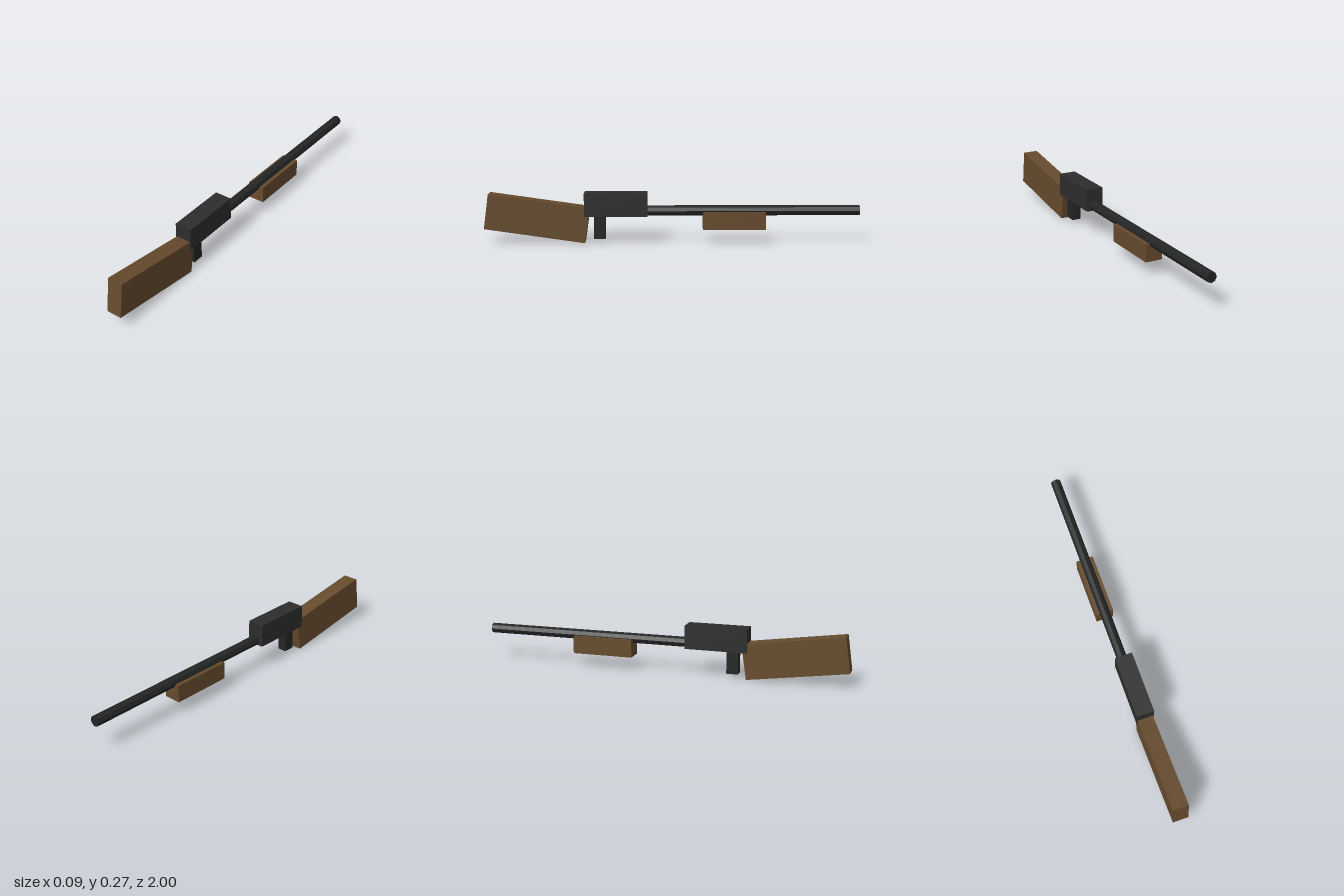
import * as THREE from 'three';

export function createModel() {
  const model = new THREE.Group();
  const wood = new THREE.MeshStandardMaterial({ name: 'brown wood', color: 0x664b2d, flatShading: true });
  const steel = new THREE.MeshStandardMaterial({ name: 'dark steel', color: 0x2d2d2d, flatShading: true });
  const blackSteel = new THREE.MeshStandardMaterial({ name: 'black steel', color: 0x242525, flatShading: true });

  const add = (name, geometry, material, y, z, tilt = 0) => {
    const mesh = new THREE.Mesh(geometry, material);
    mesh.name = name;
    mesh.position.set(0, y, z);
    mesh.rotation.x = tilt;
    model.add(mesh);
  };
  const box = (w, h, d) => new THREE.BoxGeometry(w, h, d);

  // Body
  add('receiver', box(0.094, 0.125, 0.335), steel, 0.2055, 0.2995);
  add('grip', box(0.05, 0.125, 0.062), blackSteel, 0.083, 0.386);

  // Eight-sided barrel running along z
  add('barrel', new THREE.CylinderGeometry(0.0275, 0.0275, 1.132, 8), blackSteel, 0.17, -0.434, Math.PI / 2);

  // Wooden furniture; the stock rises slightly towards its end
  add('forend', box(0.094, 0.095, 0.333), wood, 0.119, -0.331);
  add('stock', box(0.084, 0.189, 0.541), wood, 0.132, 0.719, -0.142);

  return model;
}
